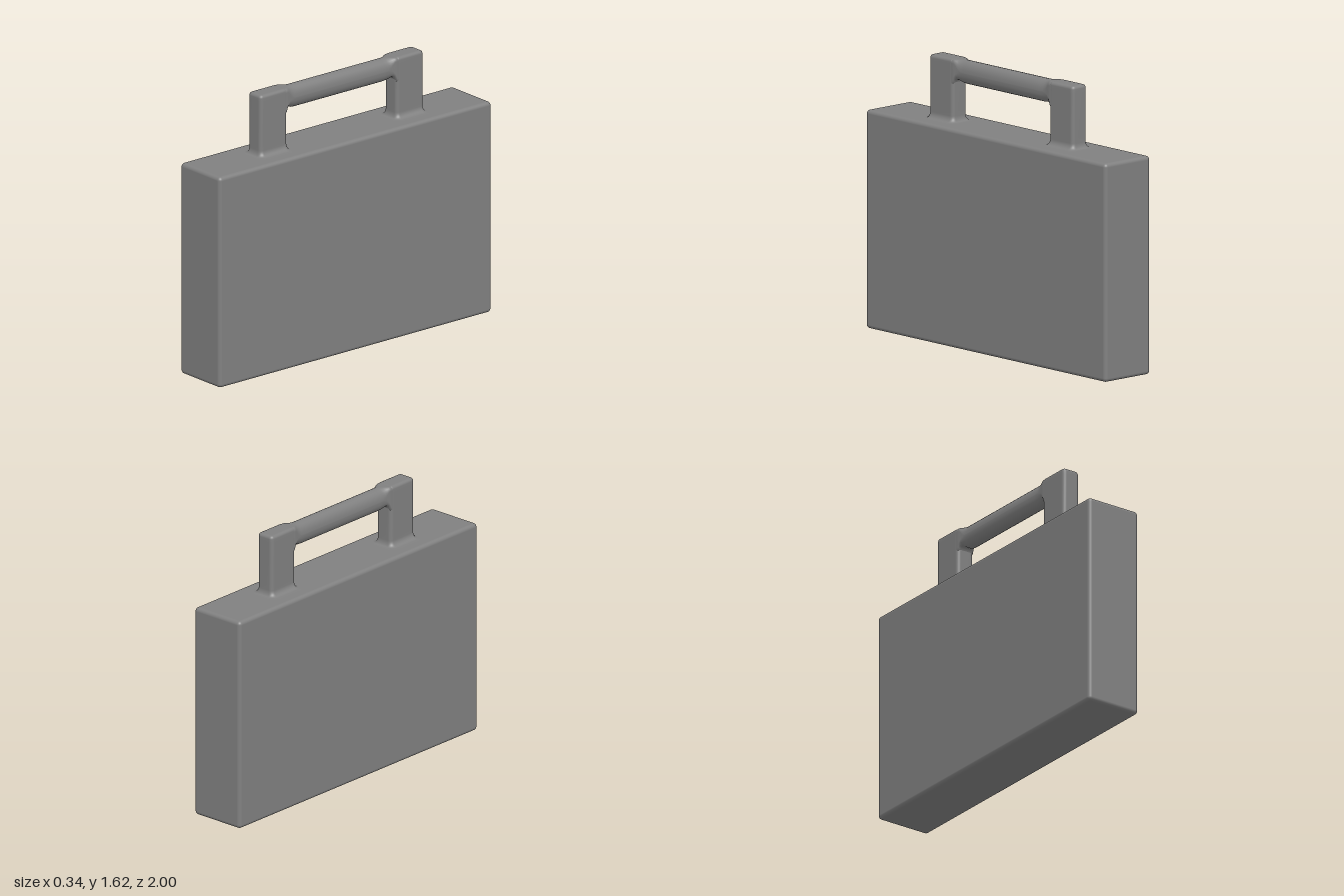
import * as THREE from 'three';
import { RoundedBoxGeometry } from 'three/addons/geometries/RoundedBoxGeometry.js';

const CORNER = 6; // steps per rounded corner

// Lofts rounded rectangles along y. Section: [y, halfX, halfZ, radiusX, radiusZ, centreZ]
function loft(sections, capTop) {
  const pos = [], index = [], n = 4 * (CORNER + 1);
  for (const [y, hx, hz, rx, rz, cz = 0] of sections) {
    for (let q = 0; q < 4; q++) {
      const sx = q === 0 || q === 3 ? 1 : -1, sz = q < 2 ? 1 : -1;
      for (let i = 0; i <= CORNER; i++) {
        const a = (q + i / CORNER) * Math.PI / 2;
        pos.push(sx * (hx - rx) + rx * Math.cos(a), y, cz + sz * (hz - rz) + rz * Math.sin(a));
      }
    }
  }
  for (let j = 0; j < sections.length - 1; j++) {
    for (let i = 0; i < n; i++) {
      const a = j * n + i, b = j * n + (i + 1) % n;
      index.push(a, a + n, b, b, a + n, b + n);
    }
  }
  if (capTop) {
    const base = (sections.length - 1) * n, c = pos.length / 3;
    pos.push(0, sections[sections.length - 1][0], 0);
    for (let i = 0; i < n; i++) index.push(base + i, c, base + (i + 1) % n);
  }
  const g = new THREE.BufferGeometry();
  g.setAttribute('position', new THREE.Float32BufferAttribute(pos, 3));
  g.setIndex(index);
  g.computeVertexNormals();
  return g;
}

export function createModel() {
  const model = new THREE.Group();
  model.name = 'briefcase';
  const material = new THREE.MeshStandardMaterial({ color: 0x808080 });
  const add = (name, geometry, parent) => {
    const mesh = new THREE.Mesh(geometry, material);
    mesh.name = name;
    parent.add(mesh);
    return mesh;
  };

  // Case body
  add('caseBody', new RoundedBoxGeometry(0.345, 1.255, 2, 5, 0.022), model).position.y = 0.6275;

  const handle = new THREE.Group();
  handle.name = 'handle';
  model.add(handle);

  // Posts: flat skirt blending into the case, flared foot, straight shaft, rounded top
  const post = [[1.2555, 0.105, 0.135, 0.05, 0.05]];
  for (let i = 0; i <= 8; i++) {
    const a = i / 8 * Math.PI / 2, s = 1 - Math.sin(a);
    post.push([1.256 + 0.036 * (1 - Math.cos(a)), 0.055 + 0.032 * s, 0.1 + 0.02 * s, 0.022 + 0.02 * s, 0.022 + 0.02 * s]);
  }
  post.push([1.32, 0.055, 0.1, 0.022, 0.022], [1.58, 0.055, 0.1, 0.022, 0.022]);
  for (let i = 0; i <= 5; i++) {
    const a = i / 5 * Math.PI / 2, d = 0.018 * (1 - Math.cos(a));
    post.push([1.602 + 0.018 * Math.sin(a), 0.055 - d, 0.1 - d, 0.022 - d, 0.022 - d]);
  }
  post.push([1.62, 0.034, 0.079, 0.002, 0.002]);
  const postGeometry = loft(post, true);
  for (const side of [1, -1]) {
    add(side > 0 ? 'frontPost' : 'backPost', postGeometry, handle).position.z = side * 0.5;
  }

  // Grip: square and filleted where it meets the posts, blending to an oval bar
  // End: [z, halfWidth, bottom, corner roundness]
  const end = [
    [0.43, 0.054, 1.46, 0.3], [0.405, 0.0545, 1.472, 0.32], [0.399, 0.0545, 1.49, 0.34],
    [0.391, 0.0535, 1.503, 0.42], [0.38, 0.052, 1.504, 0.62], [0.365, 0.0505, 1.494, 0.84],
    [0.345, 0.05, 1.487, 0.95], [0.32, 0.05, 1.485, 0.96],
  ];
  const section = (z, [, hx, bottom, r]) => {
    const top = 1.619, hy = (top - bottom) / 2;
    return [z, hx, hy, hx * r, hy * r, -(top + bottom) / 2];
  };
  const grip = [
    ...end.map((e) => section(-e[0], e)),
    ...end.slice().reverse().map((e) => section(e[0], e)),
  ];
  add('grip', loft(grip, false).rotateX(Math.PI / 2), handle);

  return model;
}
